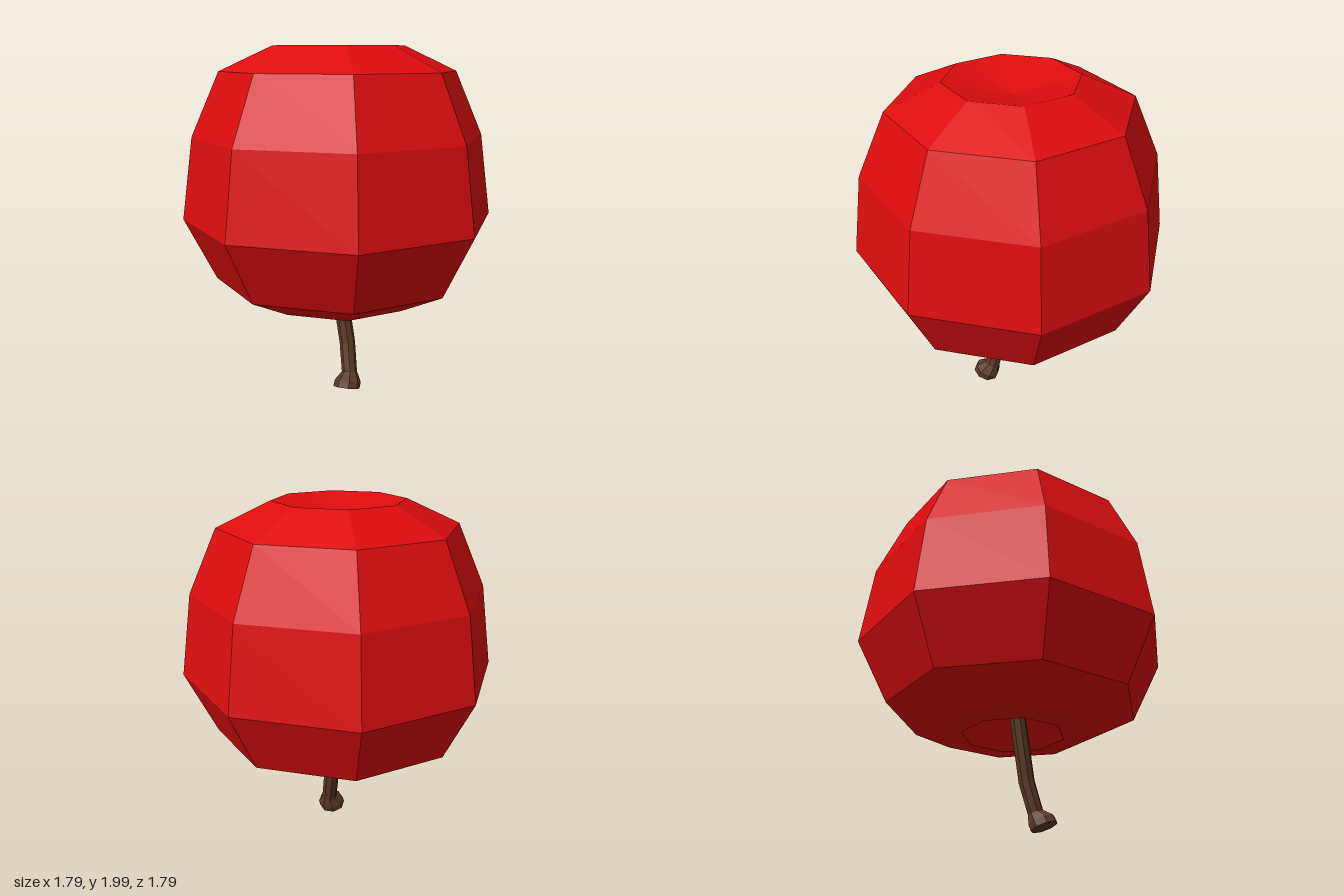
import * as THREE from 'three';

const SIDES = 8;

// Eight-sided turned surface from [radius, height] pairs, listed bottom to top
function turned(name, profile, material) {
  const points = profile.map(([r, y]) => new THREE.Vector2(r, y));
  const mesh = new THREE.Mesh(new THREE.LatheGeometry(points, SIDES), material);
  mesh.name = name;
  return mesh;
}

// Closed tube through rings of { centre, axis, radius }
function ringTube(rings, sides) {
  const positions = [], index = [];
  rings.forEach(({ centre, axis, radius }) => {
    const u = new THREE.Vector3(1, 0, 0).addScaledVector(axis, -axis.x).normalize();
    const v = new THREE.Vector3().crossVectors(axis, u);
    for (let j = 0; j < sides; j++) {
      const a = (j / sides) * Math.PI * 2;
      const p = centre.clone()
        .addScaledVector(u, Math.cos(a) * radius)
        .addScaledVector(v, Math.sin(a) * radius);
      positions.push(p.x, p.y, p.z);
    }
  });
  for (let i = 0; i < rings.length - 1; i++) {
    for (let j = 0; j < sides; j++) {
      const a = i * sides + j, b = i * sides + (j + 1) % sides;
      index.push(a, b, a + sides, b, b + sides, a + sides);
    }
  }
  // End cap
  const last = (rings.length - 1) * sides;
  const end = rings[rings.length - 1].centre;
  positions.push(end.x, end.y, end.z);
  for (let j = 0; j < sides; j++) {
    index.push(last + sides, last + j, last + (j + 1) % sides);
  }
  const geometry = new THREE.BufferGeometry();
  geometry.setAttribute('position', new THREE.Float32BufferAttribute(positions, 3));
  geometry.setIndex(index);
  geometry.computeVertexNormals();
  return geometry;
}

export function createModel() {
  const group = new THREE.Group();
  group.name = 'apple';

  const skin = new THREE.MeshStandardMaterial({ color: 0xdd0d0d, flatShading: true });
  const dimpleSkin = new THREE.MeshStandardMaterial({ color: 0xdd0d0d });
  const wood = new THREE.MeshStandardMaterial({ color: 0x5a3a26, flatShading: true });

  // Faceted fruit, resting stem-down
  group.add(turned('fruitBody', [
    [0.29, 0.53], [0.45, 0.545], [0.715, 0.675], [0.895, 1.03],
    [0.83, 1.5], [0.67, 1.86], [0.37, 2.0],
  ], skin));

  // Deep hollow around the stem and shallow hollow at the other end
  group.add(turned('stemHollow', [[0, 0.8], [0.12, 0.66], [0.29, 0.53]], dimpleSkin));
  group.add(turned('crownHollow', [[0.37, 2.0], [0, 1.91]], dimpleSkin));

  // Bent stem with a flared, tilted end: x, y, z, radius
  const path = [
    [-0.02, 0.82, -0.03, 0.045],
    [-0.024, 0.53, 0.035, 0.046],
    [-0.03, 0.28, 0.088, 0.046],
    [-0.06, 0.115, 0.128, 0.045],
    [-0.09, 0.07, 0.14, 0.077],
    [-0.105, 0.034, 0.142, 0.078],
  ];
  const centres = path.map(([x, y, z]) => new THREE.Vector3(x, y, z));
  const rings = path.map((p, i) => ({
    centre: centres[i],
    axis: centres[Math.min(i + 1, path.length - 1)].clone()
      .sub(centres[Math.max(i - 1, 0)]).normalize(),
    radius: p[3],
  }));
  rings[4].axis.set(-0.35, -1, 0.15).normalize();
  rings[5].axis.set(-0.32, -1, 0.12).normalize();
  const stem = new THREE.Mesh(ringTube(rings, SIDES), wood);
  stem.name = 'stem';
  group.add(stem);

  return group;
}
